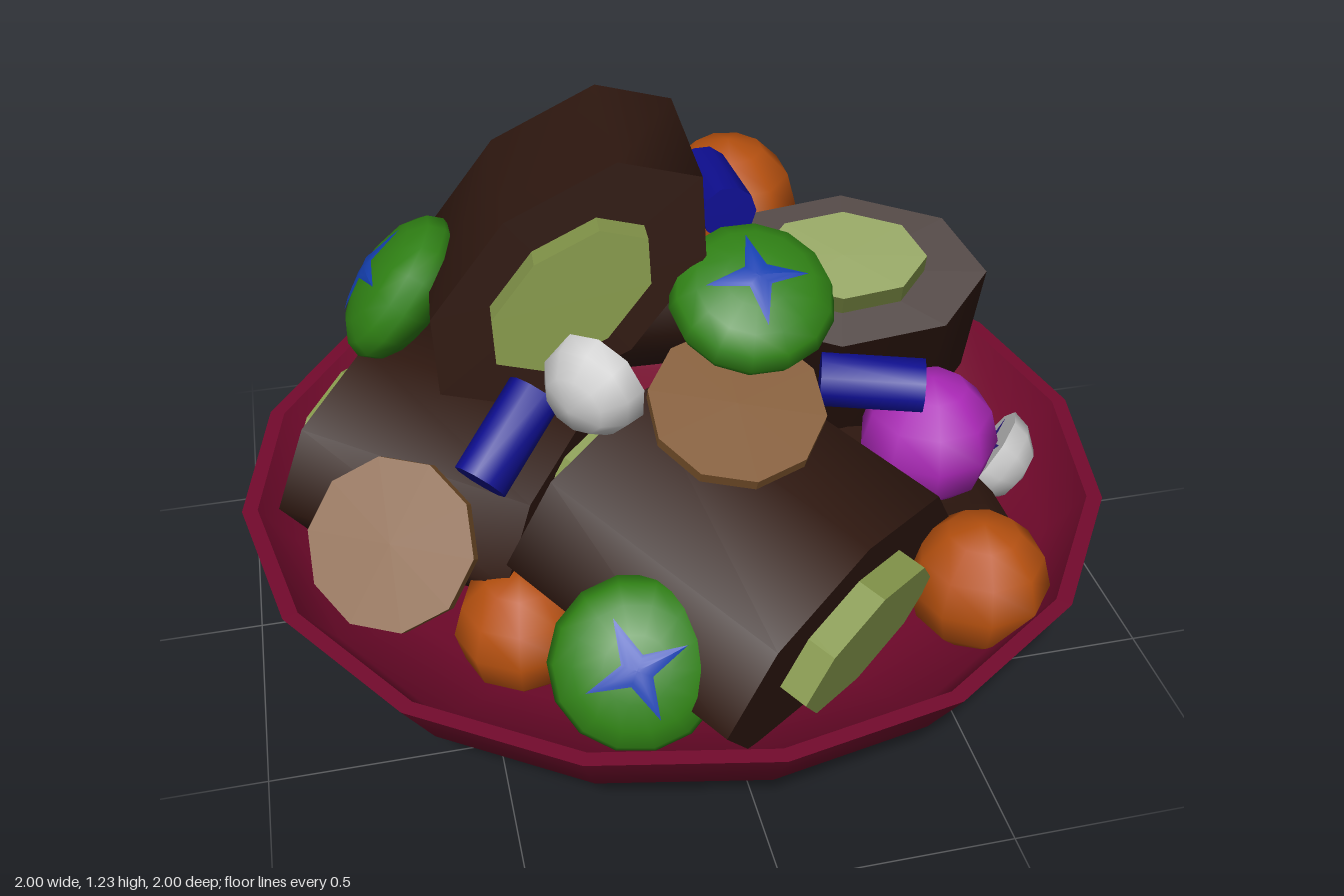
import * as THREE from 'three';
import { toCreasedNormals } from 'three/addons/utils/BufferGeometryUtils.js';

const mat = (color, extra = {}) => new THREE.MeshStandardMaterial({ color, ...extra });
const V = (a) => new THREE.Vector3(...a);

export function createModel() {
  const model = new THREE.Group();
  const bowlMat = mat(0x740a2d, { side: THREE.DoubleSide });
  const rollMat = mat(0x2f1810);
  const fillingMat = mat(0x84964a, { flatShading: true });
  const waferMat = mat(0x80572f, { flatShading: true });
  const orangeMat = mat(0xb5500f);
  const purpleMat = mat(0xaa28b6);
  const greenMat = mat(0x2f8014);
  const whiteMat = mat(0xe0e0e0);
  const starMat = mat(0x1540b0, { side: THREE.DoubleSide });
  const darkStarMat = mat(0x2f1a90, { side: THREE.DoubleSide });
  const blueMat = mat(0x0e0e90);

  function mesh(parent, name, geometry, material) {
    const m = new THREE.Mesh(geometry, material);
    m.name = name;
    parent.add(m);
    return m;
  }

  // Stand an object at a point with its local y along axis and local x near side
  function place(object, pos, axis, side = [1, 0, 0]) {
    const y = V(axis).normalize();
    const z = V(side).cross(y).normalize();
    const x = y.clone().cross(z);
    object.quaternion.setFromRotationMatrix(new THREE.Matrix4().makeBasis(x, y, z));
    object.position.set(...pos);
    return object;
  }

  // Bowl: foot ring, outer wall, rim and inner wall in one profile
  const profile = [
    [0, 0.04], [0.31, 0.04], [0.32, 0], [0.39, 0], [0.39, 0.05], [0.69, 0.11], [0.91, 0.2],
    [1, 0.345], [0.965, 0.345], [0.88, 0.225], [0.67, 0.14], [0.38, 0.08], [0, 0.07],
  ].map(([r, y]) => new THREE.Vector2(r, y));
  mesh(model, 'bowl', toCreasedNormals(new THREE.LatheGeometry(profile, 16), 0.8), bowlMat);

  // Eight-sided rolls, smooth around the side, with filling showing at both ends
  function roll(name, pos, axis, side, length, halfWide, halfHigh) {
    const g = new THREE.Group();
    g.name = name;
    const shell = new THREE.CylinderGeometry(1, 1, length, 8).scale(halfWide, 1, halfHigh);
    mesh(g, 'rollShell', toCreasedNormals(shell, 1.35), rollMat);
    const core = new THREE.CylinderGeometry(1, 1, length + 0.13, 8);
    mesh(g, 'rollFilling', core.scale(halfWide * 0.57, 1, halfHigh * 0.57), fillingMat);
    model.add(place(g, pos, axis, side));
  }
  roll('topRoll', [-0.245, 0.94, -0.025], [-0.08, 0.08, 0.99], [0.77, 0.62, 0], 0.45, 0.36, 0.2);
  roll('leaningRoll', [0.37, 0.705, 0.05], [-0.14, 0.84, 0.48], [1, -0.03, 0.25], 0.46, 0.31, 0.185);
  roll('buriedRoll', [0.4, 0.27, 0.06], [0, 0, 1], [1, 0, 0], 0.66, 0.33, 0.16);
  roll('backRoll', [0.055, 0.485, -0.51], [1, 0, 0.03], [0, 0.6, 0.8], 0.66, 0.36, 0.19);
  roll('frontRoll', [0.035, 0.44, 0.455], [0.6, -0.22, 0.76], [0.77, 0.08, -0.63], 0.59, 0.395, 0.24);
  roll('leftRoll', [-0.47, 0.435, 0.02], [-0.78, 0.05, -0.58], [0.59, 0, -0.8], 0.56, 0.36, 0.205);

  // Round wafers lying on the rolls
  for (const [pos, axis] of [
    [[0.04, 0.765, 0.42], [0, 0.91, 0.41]],
    [[-0.68, 0.485, 0.36], [-0.35, 0.6, 0.68]],
    [[-0.08, 0.72, -0.58], [0, 0.72, -0.7]],
  ]) place(mesh(model, 'wafer', new THREE.CylinderGeometry(0.185, 0.185, 0.03, 10), waferMat), pos, axis);

  // Ball sweets
  for (const [material, r, ...pos] of [
    [purpleMat, 0.14, -0.5, 0.34, -0.47],
    [purpleMat, 0.15, 0.58, 0.34, -0.46],
    [purpleMat, 0.155, 0.515, 0.53, 0.3],
    [orangeMat, 0.16, 0.18, 0.885, -0.22],
    [orangeMat, 0.155, 0.55, 0.33, 0.57],
    [orangeMat, 0.145, -0.43, 0.3, 0.46],
  ]) mesh(model, 'ballSweet', new THREE.SphereGeometry(r, 9, 6), material).position.set(...pos);

  // Four-pointed star draped over a dome of radius R and height h (h = 0 is flat)
  function starGeometry(size, R, h) {
    const geo = new THREE.RingGeometry(0.001, 1, 8, 4);
    const p = geo.attributes.position;
    for (let i = 0; i < p.count; i++) {
      const k = (i % 9) % 2 ? 0.3 * size : size;
      const x = p.getX(i) * k, z = -p.getY(i) * k;
      p.setXYZ(i, x, h * Math.sqrt(1 - (x * x + z * z) / (R * R)) + 0.004, z);
    }
    geo.computeVertexNormals();
    return geo;
  }

  // Green lens sweets with a star on each side
  for (const [pos, axis, side] of [
    [[0.115, 0.91, 0.245], [0, 0.87, 0.46], [1, 0, 0]],
    [[-0.59, 0.83, -0.095], [-0.77, 0.6, -0.15], [0.2, 0, 1]],
    [[-0.24, 0.41, 0.74], [-0.15, 0.55, 0.8], [1, 0.4, 0]],
  ]) {
    const g = new THREE.Group();
    g.name = 'lensSweet';
    mesh(g, 'lensBody', new THREE.SphereGeometry(1, 14, 8).scale(0.178, 0.09, 0.178), greenMat);
    mesh(g, 'lensStar', starGeometry(0.11, 0.178, 0.09), starMat);
    mesh(g, 'lensStarBack', starGeometry(0.11, 0.178, 0.09), darkStarMat).rotation.x = Math.PI;
    model.add(place(g, pos, axis, side));
  }

  // White half-dome sweets with a star on the flat face
  for (const [pos, axis] of [
    [[0.75, 0.31, 0.115], [0.65, -0.45, 0.42]],
    [[-0.225, 0.79, 0.3], [-0.6, -0.12, 0.6]],
    [[-0.02, 0.86, -0.355], [-0.78, 0.5, -0.1]],
  ]) {
    const g = new THREE.Group();
    g.name = 'domeSweet';
    const dome = [[0, 0], [0.118, 0], [0.108, 0.045], [0.07, 0.09], [0, 0.11]];
    const points = dome.map(([r, y]) => new THREE.Vector2(r, y));
    mesh(g, 'domeBody', toCreasedNormals(new THREE.LatheGeometry(points, 10), 0.9), whiteMat);
    mesh(g, 'domeStar', starGeometry(0.1, 1, 0), darkStarMat).rotation.x = Math.PI;
    model.add(place(g, pos, axis));
  }

  // Blue stick sweets
  for (const [pos, axis] of [
    [[-0.42, 0.685, 0.31], [0.6, 0.55, -0.5]],
    [[0.36, 0.72, 0.335], [1, -0.03, 0.3]],
    [[0.095, 1.035, 0], [0.03, 0.05, 1]],
    [[0.51, 0.51, -0.25], [0.9, -0.1, -0.35]],
  ]) {
    const stick = toCreasedNormals(new THREE.CylinderGeometry(0.06, 0.06, 0.22, 10), 0.9);
    place(mesh(model, 'stickSweet', stick, blueMat), pos, axis, [0, 1, 0]);
  }

  return model;
}
